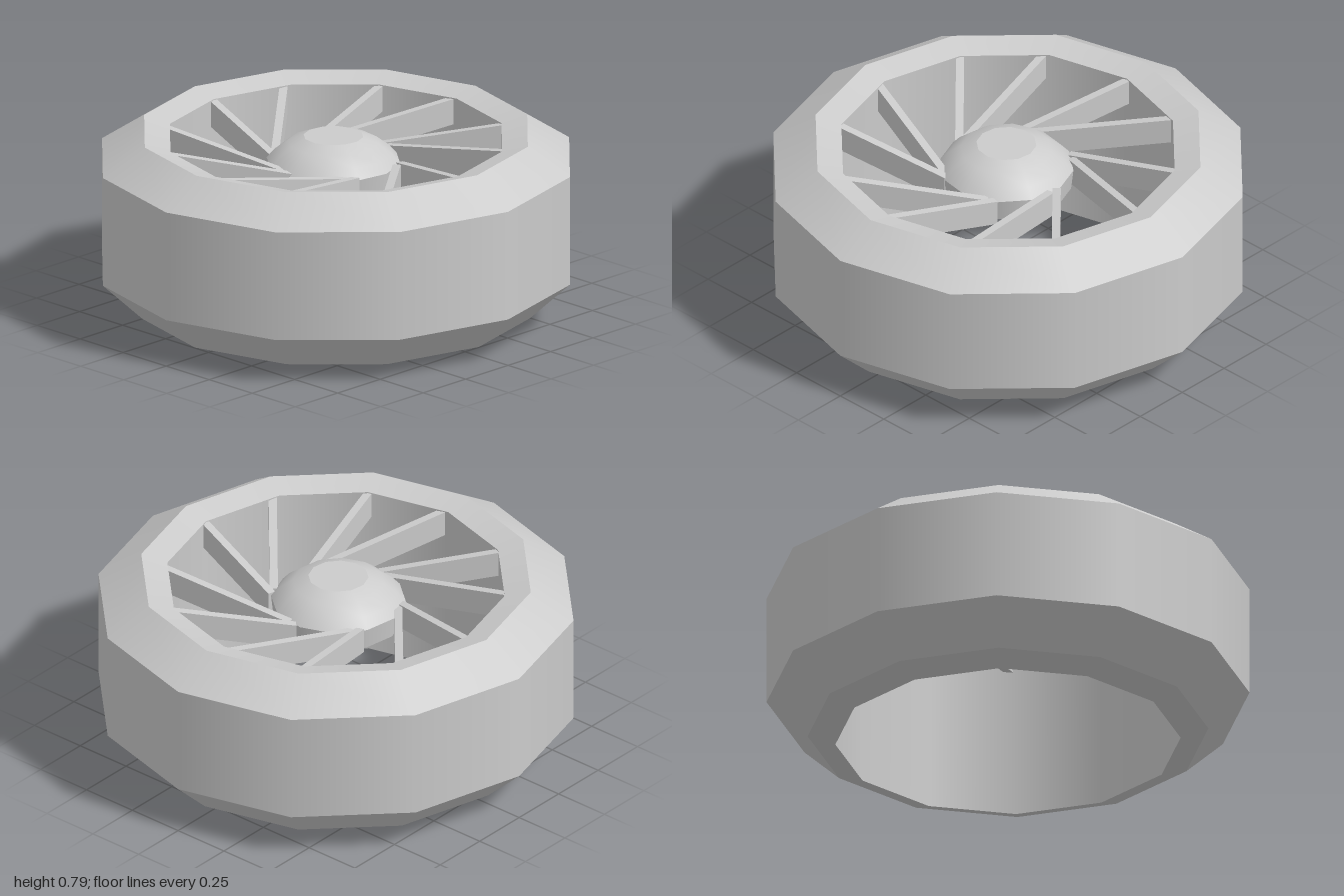
import * as THREE from 'three';
import { mergeGeometries } from 'three/addons/utils/BufferGeometryUtils.js';

const SIDES = 12;
const material = new THREE.MeshStandardMaterial({ color: 0xcccccc });

// Lathe from several profile runs: smooth around and within a run, sharp between runs
function creasedLathe(runs) {
  return mergeGeometries(runs.map((run) =>
    new THREE.LatheGeometry(run.map(([r, y]) => new THREE.Vector2(r, y)), SIDES)));
}

function addMesh(parent, name, geometry) {
  const mesh = new THREE.Mesh(geometry, material);
  mesh.name = name;
  parent.add(mesh);
  return mesh;
}

// Thin bar between two [x, z] points, sloping from the rim down to the hub
function addSpoke(parent, name, inner, outer) {
  const innerY = 0.615, outerY = 0.698, depth = 0.11, width = 0.034;
  const dx = outer[0] - inner[0], dz = outer[1] - inner[1];
  const length = Math.hypot(dx, dz);
  const geometry = new THREE.BoxGeometry(length, depth, width);
  geometry.applyMatrix4(new THREE.Matrix4().makeShear((outerY - innerY) / length, 0, 0, 0, 0, 0));
  const spoke = addMesh(parent, name, geometry);
  spoke.position.set((inner[0] + outer[0]) / 2, (innerY + outerY) / 2, (inner[1] + outer[1]) / 2);
  spoke.rotation.y = -Math.atan2(dz, dx);
}

export function createModel() {
  const model = new THREE.Group();
  model.name = 'wheel';

  // Tyre: closed ring with chamfered shoulders and a straight bore
  const ring = [
    [0.715, 0], [0.83, 0.04], [1, 0.2], [1, 0.67], [0.82, 0.787], [0.71, 0.757], [0.715, 0],
  ];
  addMesh(model, 'tyre', creasedLathe(ring.slice(1).map((p, i) => [ring[i], p])));

  // Hub: domed cap with a flat centre and a short skirt
  const hub = addMesh(model, 'hub', creasedLathe([
    [[0, 0.57], [0.27, 0.57]],
    [[0.27, 0.57], [0.28, 0.66]],
    [[0.28, 0.66], [0.245, 0.7], [0.19, 0.742], [0.125, 0.768]],
    [[0.125, 0.768], [0, 0.768]],
  ]));
  hub.position.set(-0.012, 0, -0.003);
  hub.rotation.y = THREE.MathUtils.degToRad(6);

  // Spokes: six slanted V pairs
  for (let i = 0; i < 6; i++) {
    const pair = new THREE.Group();
    pair.name = 'spokePair' + (i + 1);
    addSpoke(pair, 'steepSpoke', [-0.145, -0.225], [0, -0.715]);
    addSpoke(pair, 'slantedSpoke', [-0.115, -0.24], [0.33, -0.63]);
    pair.rotation.y = -i * Math.PI / 3;
    model.add(pair);
  }
  return model;
}
